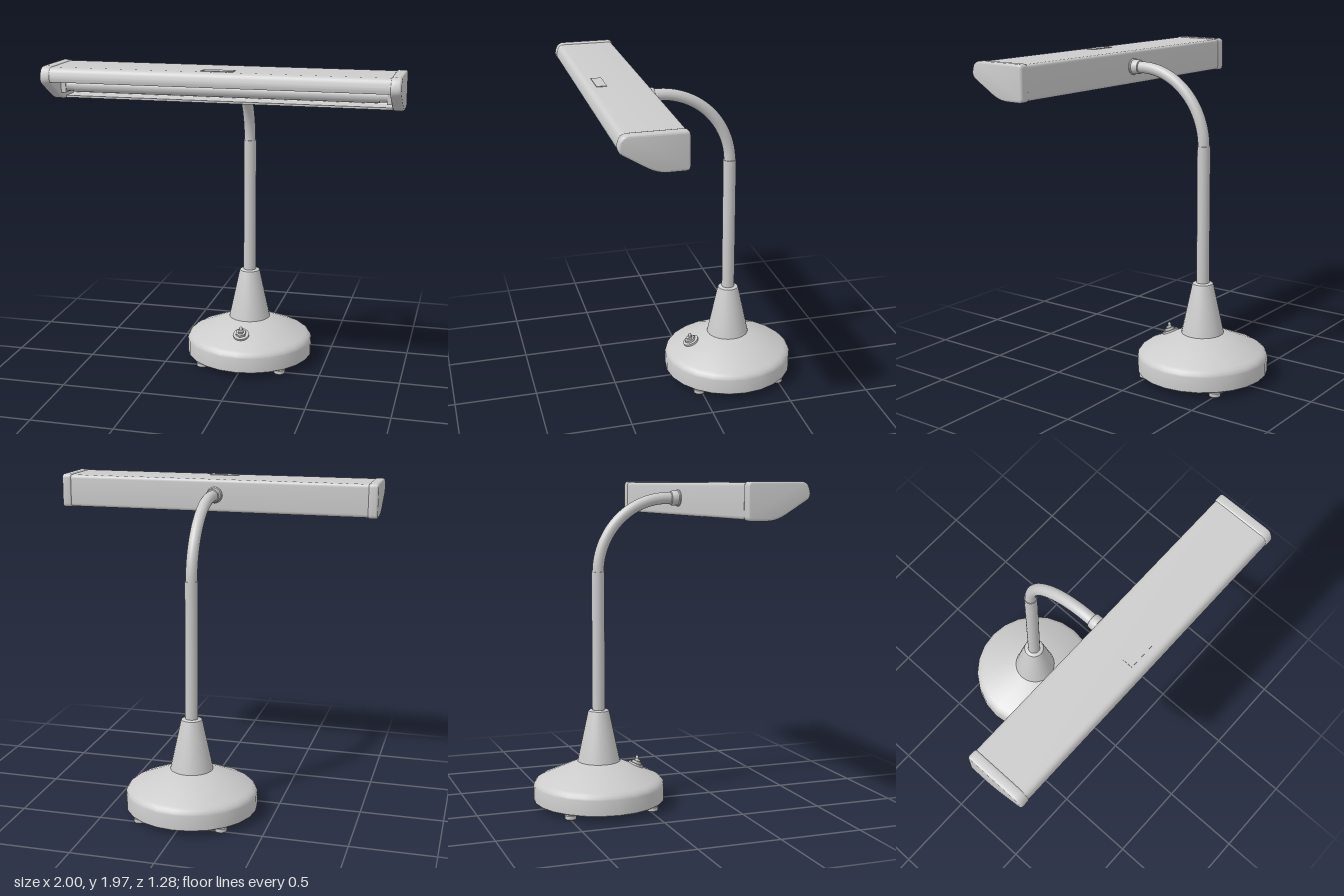
import * as THREE from 'three';
import { toCreasedNormals } from 'three/addons/utils/BufferGeometryUtils.js';

const BASE_Z = -0.24;

export function createModel() {
  const lamp = new THREE.Group();
  lamp.name = 'deskLamp';
  const material = new THREE.MeshStandardMaterial({ color: 0xcccccc });

  const add = (name, geometry, x = 0, y = 0, z = 0, parent = lamp) => {
    const mesh = new THREE.Mesh(geometry, material);
    mesh.name = name;
    mesh.position.set(x, y, z);
    parent.add(mesh);
    return mesh;
  };
  const creased = (geometry) => toCreasedNormals(geometry, 0.6);
  const lathe = (points, segments = 24) =>
    creased(new THREE.LatheGeometry(points.map(([r, y]) => new THREE.Vector2(r, y)), segments));

  // closed outline of [z, y, cornerRadius] points
  const roundedShape = (points) => {
    const shape = new THREE.Shape();
    const n = points.length;
    points.forEach(([px, py, r = 0], i) => {
      const p = new THREE.Vector2(px, py);
      const toward = (q) => new THREE.Vector2(q[0], q[1]).sub(p).setLength(r).add(p);
      const a = toward(points[(i + n - 1) % n]);
      const b = toward(points[(i + 1) % n]);
      if (i === 0) shape.moveTo(a.x, a.y);
      else shape.lineTo(a.x, a.y);
      if (r > 0) shape.quadraticCurveTo(px, py, b.x, b.y);
    });
    shape.closePath();
    return shape;
  };
  // extrude a (z, y) outline along x, centred on x = 0
  const extrudeX = (shape, width, bevel = 0) => {
    const geometry = new THREE.ExtrudeGeometry(shape, {
      depth: width - 2 * bevel, curveSegments: 5, bevelEnabled: bevel > 0,
      bevelSize: bevel, bevelThickness: bevel, bevelOffset: -bevel, bevelSegments: 3,
    });
    geometry.translate(0, 0, bevel - width / 2);
    geometry.rotateY(-Math.PI / 2);
    return creased(geometry);
  };

  // weighted base with a recessed underside
  add('base', lathe([
    [0, 0.075], [0.15, 0.075], [0.15, 0.055], [0.36, 0.055], [0.36, 0.035], [0.395, 0.035], [0.4, 0.04],
    [0.4, 0.13], [0.396, 0.143], [0.385, 0.157], [0.365, 0.17], [0.13, 0.275], [0, 0.275],
  ]), 0, 0, BASE_Z);

  // feet
  const foot = lathe([[0, 0], [0.03, 0], [0.035, 0.005], [0.035, 0.026], [0.025, 0.03], [0.025, 0.056], [0, 0.056]], 16);
  for (const sx of [-1, 1]) for (const sz of [-1, 1]) {
    add('foot', foot, sx * 0.25, 0, BASE_Z + sz * 0.255);
  }

  // conical socket and straight post
  add('stemSocket', lathe([
    [0.131, 0.27], [0.066, 0.575], [0.062, 0.586], [0.052, 0.592], [0.03, 0.592],
  ]), 0, 0, BASE_Z);
  add('post', new THREE.CylinderGeometry(0.039, 0.039, 0.86, 24), 0, 1.0, BASE_Z);

  // bent gooseneck: quarter arc, then straight into the collar
  const neckPath = new THREE.CurvePath();
  const arc = [];
  for (let i = 0; i <= 16; i++) {
    const t = (i / 16) * Math.PI / 2;
    arc.push(new THREE.Vector3(0, 1.42 + 0.445 * Math.sin(t), 0.2 - 0.44 * Math.cos(t)));
  }
  neckPath.add(new THREE.CatmullRomCurve3(arc));
  neckPath.add(new THREE.LineCurve3(arc[16], new THREE.Vector3(0, 1.865, 0.26)));
  add('gooseneck', new THREE.TubeGeometry(neckPath, 40, 0.035, 20, false));
  const collar = add('neckCollar', lathe([
    [0.034, 0], [0.041, 0.003], [0.044, 0.01], [0.044, 0.045], [0.05, 0.05], [0.05, 0.065],
  ]), 0, 1.865, 0.22);
  collar.rotation.x = Math.PI / 2;

  // toggle switch, tilted to the slope of the base
  const toggle = new THREE.Group();
  toggle.name = 'toggleSwitch';
  toggle.position.set(0, 0.225, 0);
  toggle.rotation.x = 0.41;
  lamp.add(toggle);
  add('switchWasher', new THREE.CylinderGeometry(0.05, 0.05, 0.014, 20), 0, 0.004, 0, toggle);
  add('switchNut', new THREE.CylinderGeometry(0.034, 0.034, 0.016, 6).toNonIndexed(), 0, 0.018, 0, toggle);
  add('switchBushing', new THREE.CylinderGeometry(0.018, 0.018, 0.016, 16), 0, 0.031, 0, toggle);
  const lever = add('switchLever', new THREE.CapsuleGeometry(0.01, 0.025, 4, 10), 0, 0.038, -0.006, toggle);
  lever.rotation.x = -0.5;

  // folded shade, open along its slanted underside
  add('shade', extrudeX(roundedShape([
    [0.4, 1.76], [0.275, 1.76, 0.022], [0.275, 1.96, 0.022], [0.62, 1.96, 0.03], [0.635, 1.9, 0.015],
    [0.63, 1.88], [0.618, 1.88], [0.622, 1.9, 0.008], [0.61, 1.948, 0.02],
    [0.287, 1.948, 0.012], [0.287, 1.772, 0.012], [0.4, 1.772],
  ]), 1.9));

  // raised tab on top of the shade
  add('topTab', new THREE.BoxGeometry(0.18, 0.008, 0.06), 0, 1.96, 0.54);

  // end caps
  const endCap = extrudeX(roundedShape([
    [0.27, 1.755, 0.026], [0.27, 1.965, 0.026], [0.622, 1.965, 0.04], [0.645, 1.88, 0.035], [0.44, 1.755, 0.06],
  ]), 0.06, 0.012);

  // lamp tube, its end ferrules and holders
  const TUBE_Y = 1.84, TUBE_Z = 0.44;
  const rod = (radius, length) => new THREE.CylinderGeometry(radius, radius, length, 20).rotateZ(Math.PI / 2);
  add('lightTube', rod(0.038, 1.74), 0, TUBE_Y, TUBE_Z);
  for (const side of [-1, 1]) {
    add('endCap', endCap, side * 0.97, 0, 0);
    add('tubeFerrule', rod(0.033, 0.05), side * 0.89, TUBE_Y, TUBE_Z);
    add('tubeHolder', new THREE.BoxGeometry(0.03, 0.08, 0.07), side * 0.927, TUBE_Y, TUBE_Z);
  }
  return lamp;
}
